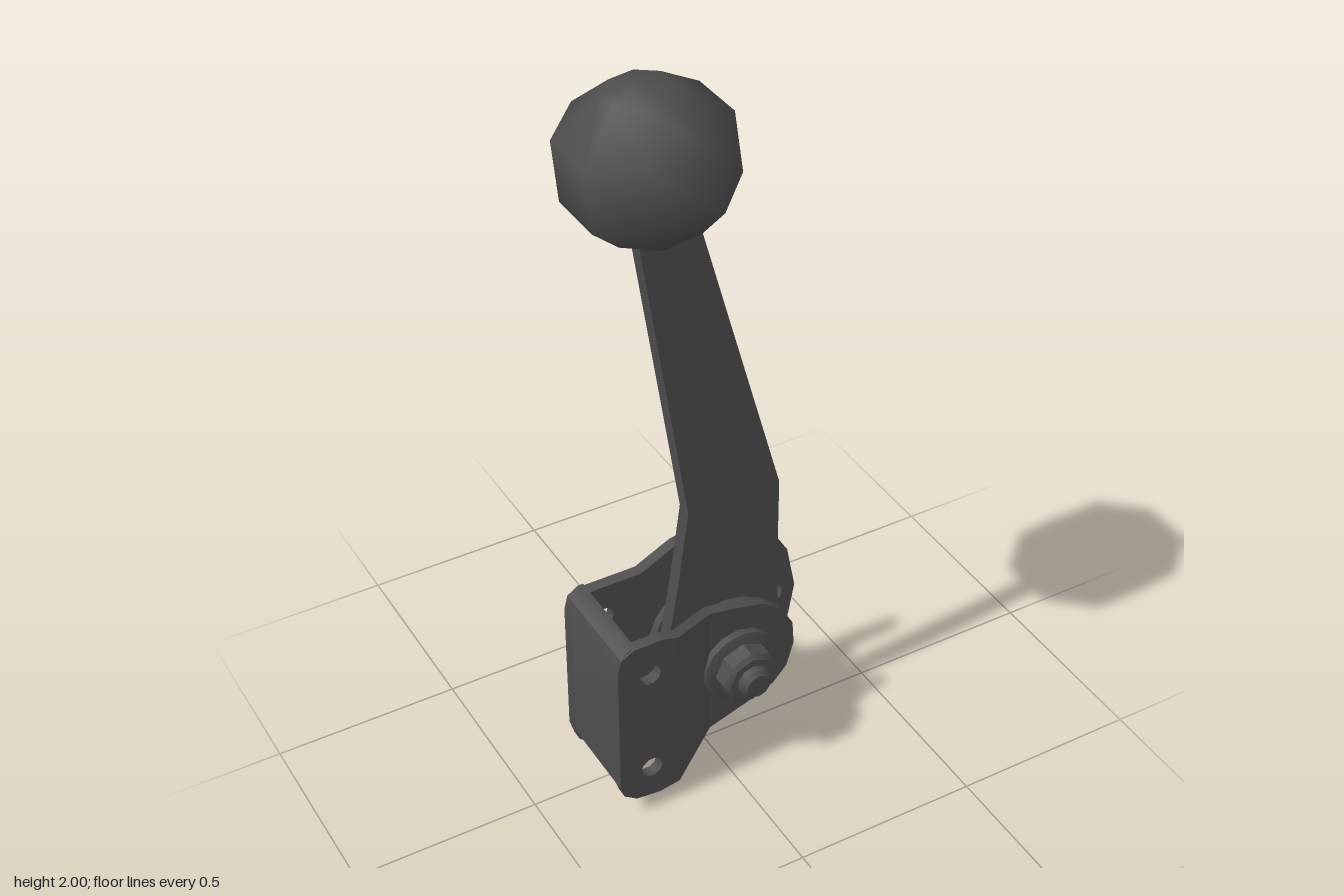
import * as THREE from 'three';
import { toCreasedNormals } from 'three/addons/utils/BufferGeometryUtils.js';

const PIVOT = [0.05, 0.32];

export function createModel() {
  const model = new THREE.Group();
  model.name = 'handLever';
  const darkMetal = new THREE.MeshStandardMaterial({ color: 0x4d4d4d });
  darkMetal.name = 'darkMetal';

  const add = (name, geometry, parent = model) => {
    const mesh = new THREE.Mesh(geometry, darkMetal);
    mesh.name = name;
    parent.add(mesh);
    return mesh;
  };

  // Sheet part cut from an outline, with round holes, optionally bent along x
  const plate = (name, points, z0, z1, holes = [], bend = null, parent = model) => {
    const shape = new THREE.Shape(points.map(([x, y]) => new THREE.Vector2(x, y)));
    for (const [x, y, r] of holes) {
      const hole = new THREE.Path();
      hole.absarc(x, y, r, 0, Math.PI * 2, true);
      shape.holes.push(hole);
    }
    const g = new THREE.ExtrudeGeometry(shape, { depth: z1 - z0, bevelEnabled: false, curveSegments: 5 });
    g.translate(0, 0, z0);
    if (bend) {
      const p = g.attributes.position;
      for (let i = 0; i < p.count; i++) p.setZ(i, p.getZ(i) + bend(p.getX(i)));
    }
    g.computeVertexNormals();
    return add(name, toCreasedNormals(g, 0.7), parent);
  };

  // Turned part around the pivot; profile pairs are [radius, z]
  const turned = (name, profile, sides) => {
    const g = new THREE.LatheGeometry(profile.map(([r, z]) => new THREE.Vector2(r, z)), sides);
    g.rotateX(Math.PI / 2);
    const mesh = add(name, toCreasedNormals(g, 0.65));
    mesh.position.set(PIVOT[0], PIVOT[1], 0);
  };

  // Lever arm with rounded foot around the pivot
  const foot = [];
  for (let i = 0; i <= 9; i++) {
    const a = Math.PI + (i / 9) * Math.PI;
    foot.push([PIVOT[0] + 0.165 * Math.cos(a), PIVOT[1] + 0.17 * Math.sin(a)]);
  }
  plate('leverArm', [
    [-0.2, 1.75], [-0.184, 1.65], [-0.055, 0.8], [-0.085, 0.58], [-0.115, 0.4],
    ...foot, [0.205, 0.5], [0.205, 0.8], [-0.03, 1.65], [-0.06, 1.75],
  ], -0.021, 0.021);

  // Faceted ball knob
  const knobProfile = [[0, -0.172], [0.13, -0.167], [0.205, -0.085], [0.202, 0.075], [0.08, 0.168], [0, 0.18]];
  const knob = add('ballKnob', new THREE.LatheGeometry(
    knobProfile.map(([r, y]) => new THREE.Vector2(r, y)), 8, Math.PI / 8));
  knob.position.set(-0.145, 1.825, 0.003);
  knob.rotation.z = 0.12;

  // U-shaped bracket
  const bracket = new THREE.Group();
  bracket.name = 'bracket';
  model.add(bracket);
  const boltHoles = [[-0.24, 0.46, 0.03], [-0.24, 0.145, 0.03]];

  plate('backPlate', [
    [-0.33, 0.11], [-0.32, 0.075], [-0.285, 0.05], [-0.2, 0.05], [-0.11, 0.045], [-0.02, 0.015],
    [0.04, 0.005], [0.13, 0.02], [0.2, 0.06], [0.27, 0.14], [0.31, 0.22], [0.33, 0.33],
    [0.305, 0.46], [0.25, 0.55], [0.15, 0.61], [0.06, 0.625], [-0.03, 0.61], [-0.08, 0.585],
    [-0.13, 0.56], [-0.285, 0.56], [-0.32, 0.54], [-0.33, 0.5],
  ], -0.122, -0.09, [...boltHoles, [0.26, 0.325, 0.032], [0.02, 0.08, 0.032], [0.02, 0.57, 0.032]], null, bracket);

  plate('sideWall', [
    [-0.33, 0.11], [-0.298, 0.12], [-0.298, 0.49], [-0.275, 0.53], [-0.275, 0.56],
    [-0.29, 0.56], [-0.32, 0.54], [-0.33, 0.5],
  ], -0.128, 0.15, [], null, bracket);

  // Front plate: raised flange, slope, and pivot face
  const xa = -0.16, xb = -0.03;
  const bend = (x) => 0.07 * THREE.MathUtils.clamp((xb - x) / (xb - xa), 0, 1);
  const front = (name, points, holes) => plate(name, points, 0.055, 0.086, holes, bend, bracket);
  front('frontFlange', [
    [-0.33, 0.11], [-0.32, 0.08], [-0.285, 0.055], [-0.22, 0.048], [xa, 0.058],
    [xa, 0.548], [-0.2, 0.56], [-0.285, 0.56], [-0.32, 0.54], [-0.33, 0.5],
  ], boltHoles);
  front('frontSlope', [[xa, 0.058], [xb, 0.125], [xb, 0.515], [xa, 0.548]]);
  front('frontPivotFace', [
    [xb, 0.125], [0.08, 0.162], [0.16, 0.195], [0.2, 0.24], [0.22, 0.31], [0.215, 0.38],
    [0.18, 0.44], [0.125, 0.482], [0.05, 0.5], [xb, 0.515],
  ]);

  // Pivot hardware from back to front
  turned('boltHead', [[0, -0.197], [0.062, -0.197], [0.073, -0.185], [0.073, -0.138]], 10);
  turned('backWasher', [[0, -0.146], [0.08, -0.146], [0.106, -0.138], [0.106, -0.12]], 14);
  turned('backDisc', [[0.1, -0.092], [0.15, -0.088], [0.168, -0.08], [0.168, -0.055], [0, -0.055]], 18);
  turned('backSpacer', [[0.13, -0.056], [0.138, -0.045], [0.158, -0.03], [0.158, -0.02]], 18);
  turned('frontSpacer', [[0.158, 0.02], [0.15, 0.036], [0.13, 0.04], [0.13, 0.056]], 18);
  turned('frontWasher', [[0.106, 0.085], [0.106, 0.106], [0.09, 0.112], [0, 0.112]], 14);
  turned('nut', [[0.078, 0.11], [0.078, 0.155], [0.066, 0.166], [0, 0.166]], 8);
  turned('boltTip', [[0.045, 0.16], [0.045, 0.183], [0.034, 0.195], [0, 0.195]], 10);

  return model;
}
